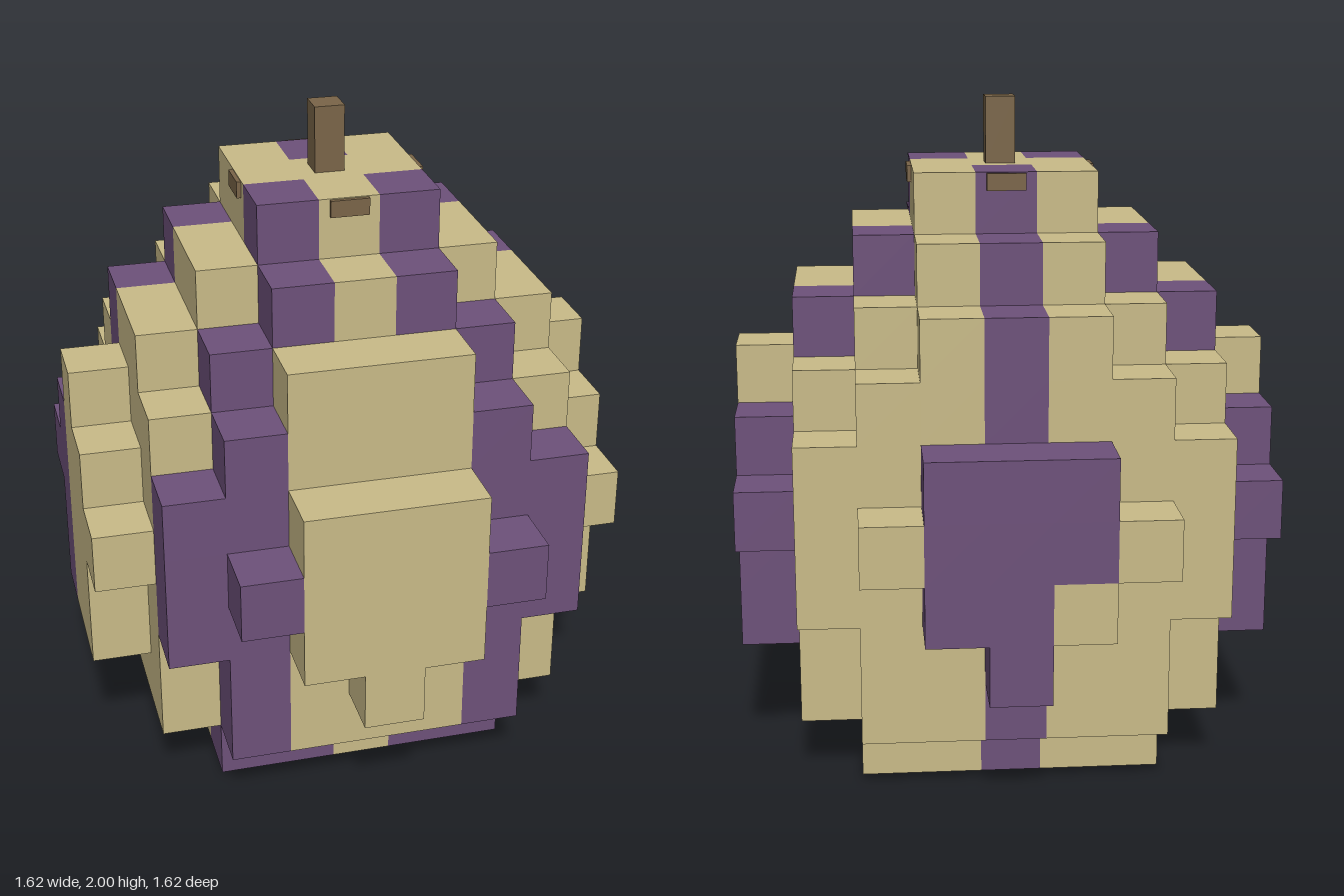
import * as THREE from 'three';
import { mergeGeometries } from 'three/addons/utils/BufferGeometryUtils.js';

const U = 0.18; // edge of one block
const sand = new THREE.MeshStandardMaterial({ color: 0xc9bb88 });
const purple = new THREE.MeshStandardMaterial({ color: 0x6d517a });
const brown = new THREE.MeshStandardMaterial({ color: 0x7a6548 });
sand.name = 'sand';
purple.name = 'purple';
brown.name = 'brown';

// How far each row of a layer reaches: reach[|z|] = largest |x|, from the bottom up
const LAYERS = [
  [2, 2, 2],
  [3, 3, 3, 2],
  [3, 3, 3, 2],
  [3, 3, 3, 3],
  [3, 3, 3, 3],
  [3, 3, 3, 3],
  [3, 3, 3, 2],
  [3, 3, 2, 1],
  [2, 2, 1],
  [1, 1],
];

// Stripes: two at the front corners, one on each side, one down the back
function isStripe(x, y, z) {
  const ax = Math.abs(x);
  if (x === 0) return z < 0;
  if (y === 9) return ax === 1 && z === 1;
  if (z === -1) return ax >= 2;
  if (y === 8) return ax === 1 && z >= 1;
  if (y === 0) return (ax >= 1 && z === 2) || (ax === 1 && z === 1);
  if (ax === 3) return z === 3;
  return ax === 2 && z >= 2;
}

const key = (x, y, z) => `${x},${y},${z}`;

function buildCells() {
  const cells = new Map();
  const put = (x, y, z, part) => cells.set(key(x, y, z), { x, y, z, part });

  LAYERS.forEach((reach, y) => {
    for (let z = 1 - reach.length; z < reach.length; z++) {
      const r = reach[Math.abs(z)];
      for (let x = -r; x <= r; x++) put(x, y, z, isStripe(x, y, z) ? 'stripes' : 'shell');
    }
  });

  // Raised patches on the front and back
  for (const z of [4, -4]) {
    const main = z > 0 ? 'sandPatches' : 'purplePatches';
    const side = z > 0 ? 'purplePatches' : 'sandPatches';
    for (let y = 3; y <= 5; y++) for (let x = -1; x <= 1; x++) put(x, y, z, main);
    put(0, 2, z, main);
    put(2, 4, z, side);
    put(-2, 4, z, side);
  }
  put(-1, 3, -4, 'sandPatches');

  // Raised patches on both sides
  for (const x of [4, -4]) {
    for (let y = 2; y <= 5; y++) {
      for (let z = -1; z <= 1; z++) put(x, y, z, z < 0 ? 'purplePatches' : 'sandPatches');
    }
    put(x, 6, 0, 'sandPatches');
    put(x, 4, 2, 'sandPatches');
    put(x, 4, -2, 'purplePatches');
  }
  return cells;
}

// Six block sides: neighbour direction and the square that covers it
const square = () => new THREE.PlaneGeometry(U, U).translate(0, 0, U / 2);
const SIDES = [
  [0, 0, 1, square()],
  [0, 0, -1, square().rotateY(Math.PI)],
  [1, 0, 0, square().rotateY(Math.PI / 2)],
  [-1, 0, 0, square().rotateY(-Math.PI / 2)],
  [0, 1, 0, square().rotateX(-Math.PI / 2)],
  [0, -1, 0, square().rotateX(Math.PI / 2)],
];

// Only the outside faces of one part
function skin(cells, part) {
  const faces = [];
  for (const c of cells.values()) {
    if (c.part !== part) continue;
    for (const [dx, dy, dz, face] of SIDES) {
      if (cells.has(key(c.x + dx, c.y + dy, c.z + dz))) continue;
      faces.push(face.clone().translate(c.x * U, (c.y + 0.5) * U, c.z * U));
    }
  }
  return mergeGeometries(faces);
}

export function createModel() {
  const model = new THREE.Group();
  model.name = 'blockEgg';
  const add = (name, geometry, material) => {
    const mesh = new THREE.Mesh(geometry, material);
    mesh.name = name;
    model.add(mesh);
    return mesh;
  };

  // Egg body
  const cells = buildCells();
  add('shell', skin(cells, 'shell'), sand);
  add('stripes', skin(cells, 'stripes'), purple);
  add('sandPatches', skin(cells, 'sandPatches'), sand);
  add('purplePatches', skin(cells, 'purplePatches'), purple);

  // Stem
  add('stem', new THREE.BoxGeometry(0.09, 0.2, 0.09), brown).position.y = 1.9;

  // Small tabs just under the top edge, one on each side
  for (let i = 0; i < 4; i++) {
    const tab = new THREE.BoxGeometry(0.115, 0.05, 0.03).translate(0, 1.772, 0.268);
    add('tab', tab.rotateY((i * Math.PI) / 2), brown);
  }
  return model;
}
